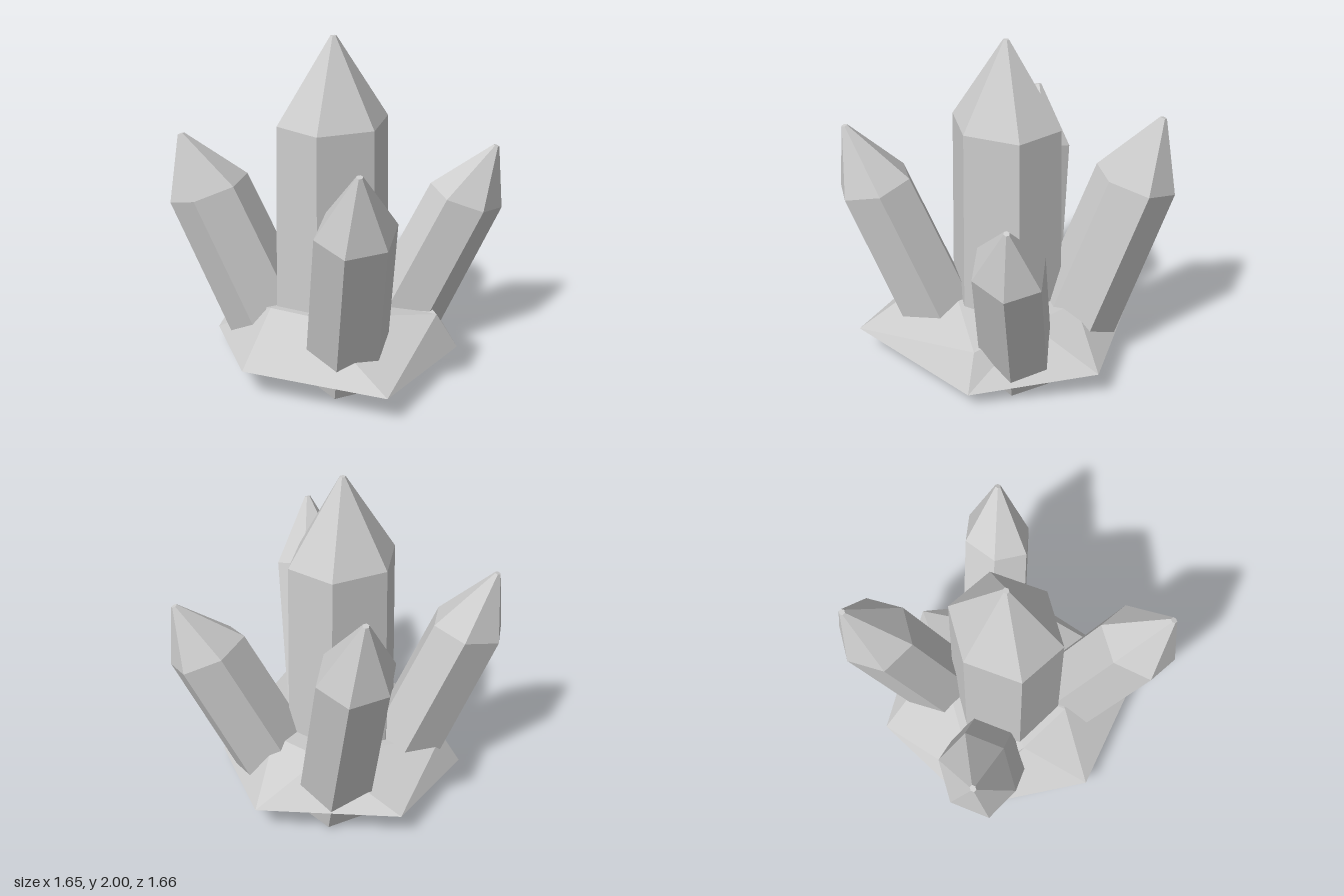
import * as THREE from 'three';

const V = (x, y, z) => new THREE.Vector3(x, y, z);
const next = (i) => (i + 1) % 6;

// Unshared triangles, so every facet stays flat
function facetMesh(name, triangles, material) {
  const geometry = new THREE.BufferGeometry().setFromPoints(triangles.flat());
  geometry.computeVertexNormals();
  const mesh = new THREE.Mesh(geometry, material);
  mesh.name = name;
  return mesh;
}

// Close a ring of six points with a fan around its middle
function cap(ring, middle, up) {
  return ring.map((p, i) => (up ? [middle, ring[next(i)], p] : [middle, p, ring[next(i)]]));
}

// Straight band of six quads between two rings
function band(low, high) {
  return low.flatMap((p, i) => [
    [p, high[i], high[next(i)]],
    [p, high[next(i)], low[next(i)]],
  ]);
}

// Six-sided crystal: slightly tapered shaft, then a point with a tiny blunt end.
// u and v span the hexagonal cross-section.
function crystal({ name, base, shoulder, tip, u, v, blunt }, material) {
  const ring = (centre, scale) =>
    Array.from({ length: 6 }, (_, i) => {
      const a = (i * Math.PI) / 3;
      return centre.clone()
        .addScaledVector(u, Math.cos(a) * scale)
        .addScaledVector(v, Math.sin(a) * scale);
    });
  const low = ring(base, 1.08);
  const mid = ring(shoulder, 1);
  const top = ring(tip, blunt);
  return facetMesh(name, [
    ...cap(low, base, false),
    ...band(low, mid),
    ...band(mid, top),
    ...cap(top, tip, true),
  ], material);
}

// Jagged rock: six rim points, six upper points set between them, flat underside
function rock(material) {
  const rim = [
    V(0.81, 0.175, 0.49), V(0, 0.175, 0.82), V(-0.65, 0.09, 0.42),
    V(-0.72, 0.175, -0.345), V(0, 0.175, -0.81), V(0.637, 0.087, -0.385),
  ];
  const top = [
    V(0.18, 0.43, 0.41), V(-0.18, 0.37, 0.41), V(-0.55, 0.28, 0.36),
    V(-0.18, 0.4, -0.41), V(0.18, 0.4, -0.41), V(0.53, 0.3, -0.31),
  ];
  const bottom = rim.map((p) => V(p.x * 0.6, 0.068, p.z * 0.6));
  const sides = rim.flatMap((p, i) => [
    [p, top[i], rim[next(i)]],
    [rim[next(i)], top[i], top[next(i)]],
  ]);
  return facetMesh('rockBase', [
    ...sides,
    ...cap(top, V(0, 0.38, 0), true),
    ...band(bottom, rim),
    ...cap(bottom, V(0, 0.068, 0), false),
  ], material);
}

export function createModel() {
  const stone = new THREE.MeshStandardMaterial({ color: 0xcccccc });
  stone.name = 'pale grey crystal';
  const model = new THREE.Group();
  model.name = 'crystalCluster';

  const crystals = [
    {
      name: 'centreCrystal', blunt: 0.055,
      base: V(-0.005, 0.058, 0.038), shoulder: V(-0.005, 1.5, 0.038), tip: V(-0.005, 2, 0.036),
      u: V(0.315, 0, 0), v: V(0, 0, 0.355),
    },
    {
      name: 'frontRightCrystal', blunt: 0.08,
      base: V(-0.3, 0.085, 0.22), shoulder: V(-0.62, 1.053, 0.475), tip: V(-0.733, 1.395, 0.58),
      u: V(0.21, 0.055, -0.005), v: V(0, -0.04, 0.25),
    },
    {
      name: 'frontLeftCrystal', blunt: 0.08,
      base: V(0.3, 0.085, 0.26), shoulder: V(0.609, 1.119, 0.527), tip: V(0.723, 1.48, 0.635),
      u: V(0.215, -0.055, -0.005), v: V(0, -0.043, 0.247),
    },
    {
      name: 'backRightCrystal', blunt: 0.08,
      base: V(-0.21, 0.085, -0.3), shoulder: V(-0.52, 1.18, -0.53), tip: V(-0.635, 1.565, -0.613),
      u: V(0.22, 0.05, 0), v: V(0, 0.037, 0.248),
    },
    {
      name: 'backLeftCrystal', blunt: 0.08,
      base: V(0.197, 0.085, -0.3), shoulder: V(0.507, 0.992, -0.6), tip: V(0.624, 1.305, -0.723),
      u: V(0.16, -0.08, -0.15), v: V(0.125, 0, 0.185),
    },
  ];

  model.add(rock(stone), ...crystals.map((c) => crystal(c, stone)));
  return model;
}
